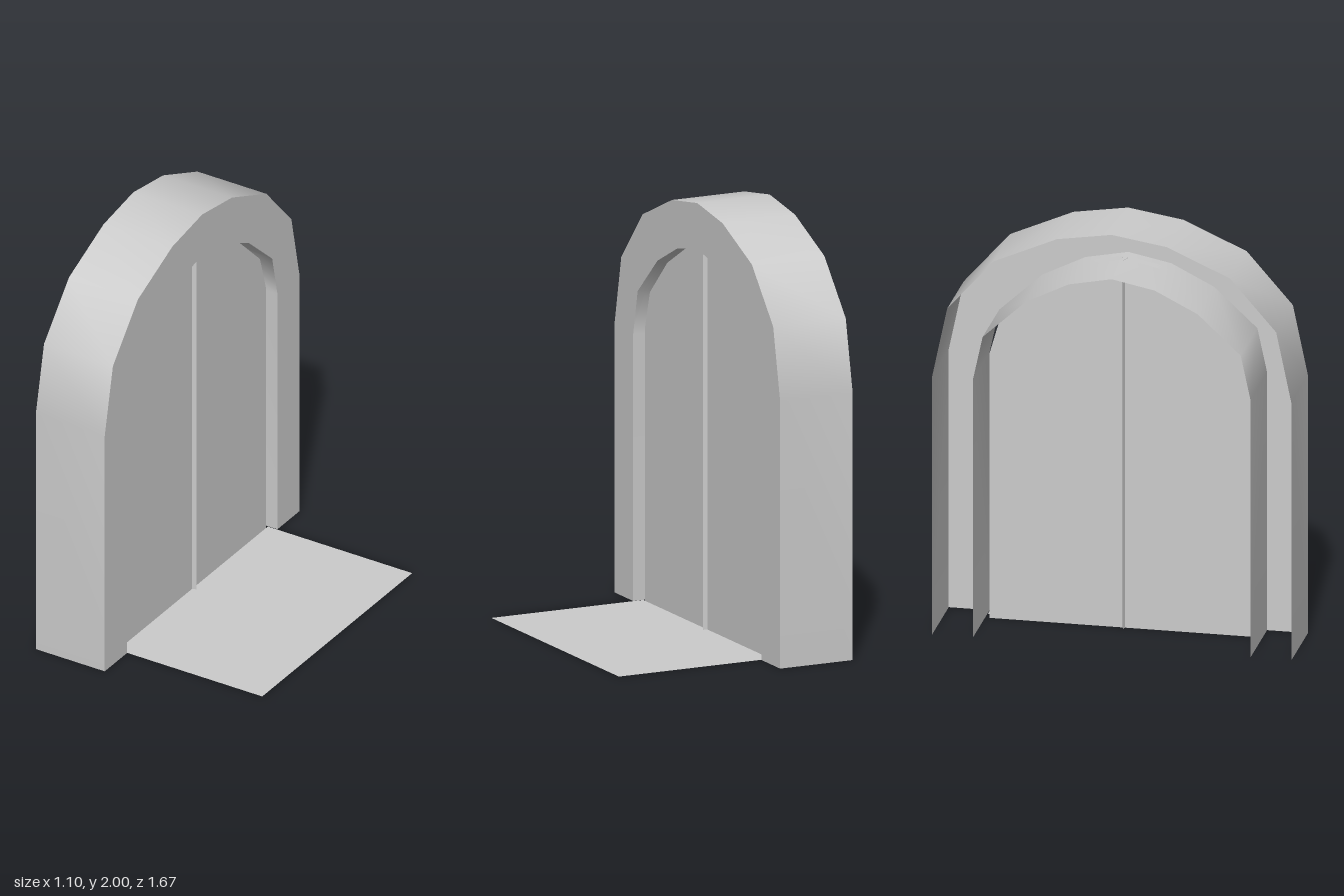
import * as THREE from 'three';

const grey = new THREE.MeshStandardMaterial({ color: 0xcccccc, side: THREE.DoubleSide });
const flat = new THREE.MeshStandardMaterial({ color: 0xcccccc, side: THREE.DoubleSide, flatShading: true });

const BACK = -0.55, FRONT = -0.18;
const DOOR_BACK = -0.28, DOOR_FRONT = -0.23;

// half profiles as [distance from centre, height], from the foot up to the apex
const outerHalf = [[0.835, 0], [0.835, 1.25], [0.765, 1.585], [0.55, 1.83], [0.255, 1.96], [0, 2]];
const innerHalf = [[0.645, 0], [0.645, 1.25], [0.6, 1.46], [0.4, 1.645], [0.2, 1.745], [0, 1.785]];
const doorHalf = [[0.625, 0], [0.625, 1.28], [0.575, 1.455], [0.4, 1.63], [0.2, 1.745], [0, 1.785]];

// whole arch, from the +z foot over the apex to the -z foot
function mirror(half) {
  return [...half, ...half.slice(0, -1).reverse().map(([z, y]) => [-z, y])];
}

// sweep an arch profile along x as an open, smooth strip
function archStrip(profile) {
  const positions = [], index = [];
  profile.forEach(([z, y], i) => {
    positions.push(BACK, y, z, FRONT, y, z);
    if (i < profile.length - 1) {
      const a = i * 2;
      index.push(a, a + 1, a + 2, a + 1, a + 3, a + 2);
    }
  });
  const geometry = new THREE.BufferGeometry();
  geometry.setAttribute('position', new THREE.Float32BufferAttribute(positions, 3));
  geometry.setIndex(index);
  geometry.computeVertexNormals();
  return geometry;
}

// shape whose horizontal axis becomes -z after the quarter turn
function profileShape(points) {
  return new THREE.Shape(points.map(([z, y]) => new THREE.Vector2(-z, y)));
}

export function createModel() {
  const model = new THREE.Group();
  const add = (name, geometry, material = grey) => {
    const mesh = new THREE.Mesh(geometry, material);
    mesh.name = name;
    model.add(mesh);
    return mesh;
  };

  const outer = mirror(outerHalf);
  const inner = mirror(innerHalf).reverse();

  // frame: outer shell, inner reveal and front face, open at the back
  add('frameOuter', archStrip(outer));
  add('frameReveal', archStrip(inner));
  const face = new THREE.ShapeGeometry(profileShape([...outer, ...inner]));
  add('frameFace', face.rotateY(Math.PI / 2).translate(FRONT, 0, 0));

  // two door leaves meeting at the centre
  for (const side of [1, -1]) {
    const leaf = [...doorHalf, [0, 0]].map(([z, y]) => [z * side, y]);
    const geometry = new THREE.ExtrudeGeometry(profileShape(leaf), {
      depth: DOOR_FRONT - DOOR_BACK, bevelEnabled: false,
    });
    geometry.rotateY(Math.PI / 2).translate(DOOR_BACK, 0, 0);
    add(side > 0 ? 'leftDoor' : 'rightDoor', geometry, flat);
  }

  // slim diamond-section strip covering the door joint
  const strip = new THREE.CylinderGeometry(1, 1, 1.785, 4);
  strip.scale(0.045, 1, 0.013).translate((DOOR_BACK + DOOR_FRONT) / 2, 1.785 / 2, 0);
  add('doorStrip', strip, flat);

  // thin floor sheet in front of the doors
  const floor = new THREE.PlaneGeometry(0.545 - DOOR_FRONT, 1.285);
  floor.rotateX(-Math.PI / 2).translate((0.545 + DOOR_FRONT) / 2, 0, 0);
  add('floor', floor);

  return model;
}
